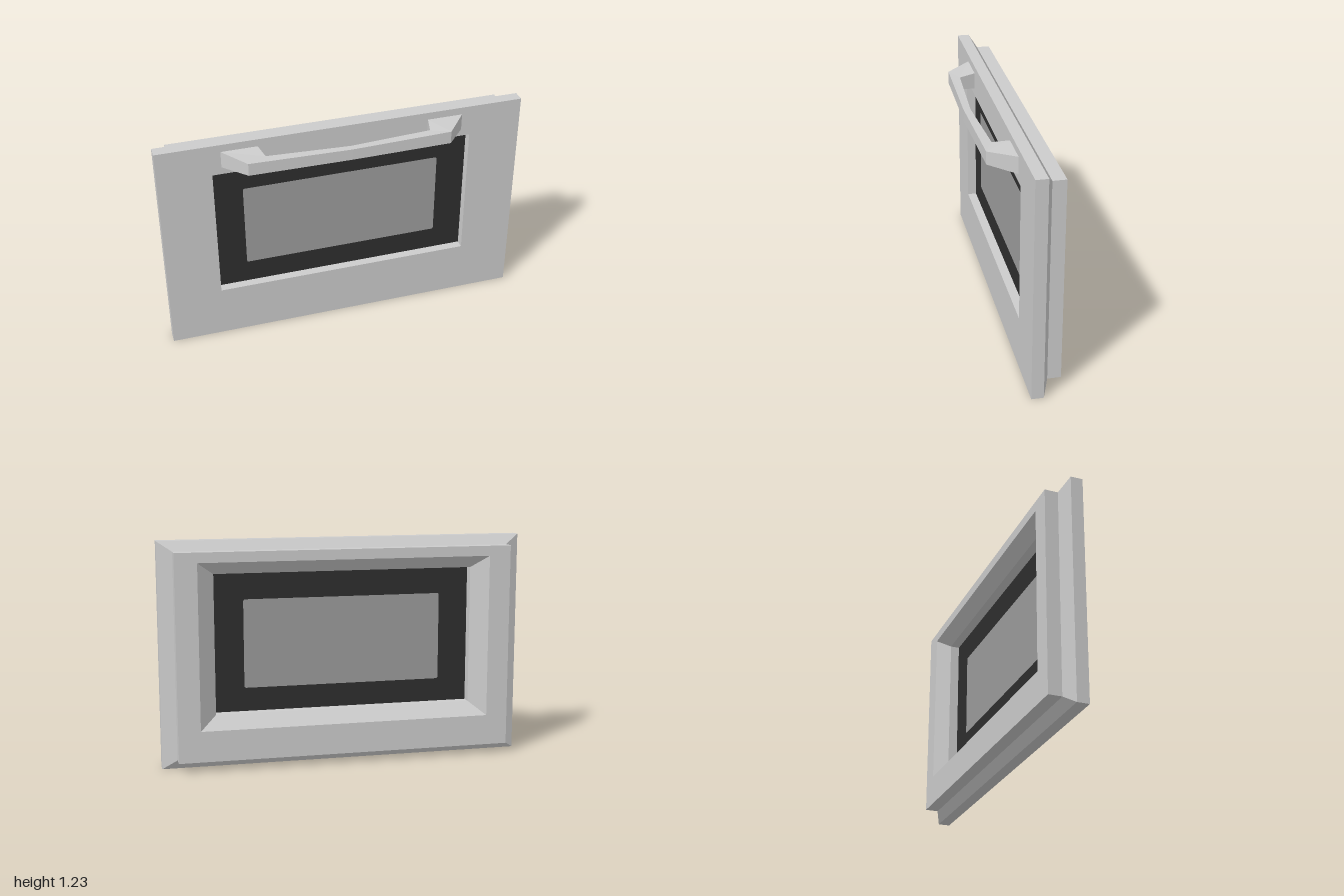
import * as THREE from 'three';

// Flat-shaded skin over a sequence of equal-length closed cross-sections
function loft(sections, closed) {
  const pos = [];
  const count = closed ? sections.length : sections.length - 1;
  for (let s = 0; s < count; s++) {
    const p = sections[s], q = sections[(s + 1) % sections.length];
    for (let i = 0; i < p.length; i++) {
      const j = (i + 1) % p.length;
      pos.push(...p[i], ...q[i], ...q[j], ...p[i], ...q[j], ...p[j]);
    }
  }
  const g = new THREE.BufferGeometry();
  g.setAttribute('position', new THREE.Float32BufferAttribute(pos, 3));
  g.computeVertexNormals();
  return g;
}

// Rectangle ring in the plane of the door
const ring = (x, y0, y1, z) => [[-x, y0, z], [x, y0, z], [x, y1, z], [-x, y1, z]];

// Rounded rectangle outline
function roundedRect(path, x, y0, y1, r) {
  path.moveTo(-x + r, y0);
  path.lineTo(x - r, y0);
  path.quadraticCurveTo(x, y0, x, y0 + r);
  path.lineTo(x, y1 - r);
  path.quadraticCurveTo(x, y1, x - r, y1);
  path.lineTo(-x + r, y1);
  path.quadraticCurveTo(-x, y1, -x, y1 - r);
  path.lineTo(-x, y0 + r);
  path.quadraticCurveTo(-x, y0, -x + r, y0);
  return path;
}

export function createModel() {
  const model = new THREE.Group();
  model.name = 'ovenDoor';
  const metal = new THREE.MeshStandardMaterial({ color: 0xcccccc });
  metal.name = 'brushedMetal';
  const black = new THREE.MeshStandardMaterial({ color: 0x2e2e2e });
  black.name = 'blackGlass';
  const grey = new THREE.MeshStandardMaterial({ color: 0x9c9c9c });
  grey.name = 'greyGlass';

  const add = (name, geometry, material) => {
    const mesh = new THREE.Mesh(geometry, material);
    mesh.name = name;
    model.add(mesh);
    return mesh;
  };

  // Door frame: bevelled outside, window opening flared towards the back
  add('doorFrame', loft([
    ring(1, 0, 1.226, 0.012),
    ring(1, 0, 1.226, -0.053),
    ring(0.92, 0.054, 1.173, -0.089),
    ring(0.92, 0.054, 1.173, -0.161),
    ring(0.80, 0.222, 1.118, -0.161),
    ring(0.71, 0.295, 1.052, -0.097),
    ring(0.71, 0.295, 1.052, 0.012),
  ], true), metal);

  // Window: black border around a grey pane
  const border = new THREE.Shape();
  roundedRect(border, 0.71, 0.295, 1.052, 0.001);
  border.holes.push(roundedRect(new THREE.Path(), 0.547, 0.423, 0.906, 0.012));
  const pane = roundedRect(new THREE.Shape(), 0.547, 0.423, 0.906, 0.012);
  const options = { depth: 0.009, bevelEnabled: false, curveSegments: 4 };
  add('windowBorder', new THREE.ExtrudeGeometry(border, options), black).position.z = -0.046;
  add('windowPane', new THREE.ExtrudeGeometry(pane, options), grey).position.z = -0.046;

  // Handle: [outer x, outer z, outer half height, inner x, inner z, inner half height]
  const half = [
    [0.66, 0.012, 0.046, 0.465, 0.012, 0.046],
    [0.547, 0.148, 0.035, 0.445, 0.10, 0.035],
    [0, 0.161, 0.031, 0, 0.124, 0.031],
  ];
  const cy = 1.139;
  const section = ([ox, oz, oh, ix, iz, ih], side) => [
    [side * ox, cy - oh, oz], [side * ox, cy + oh, oz],
    [side * ix, cy + ih, iz], [side * ix, cy - ih, iz],
  ];
  add('handle', loft([
    ...half.map((h) => section(h, -1)),
    ...half.slice(0, 2).reverse().map((h) => section(h, 1)),
  ], false), metal);

  return model;
}
